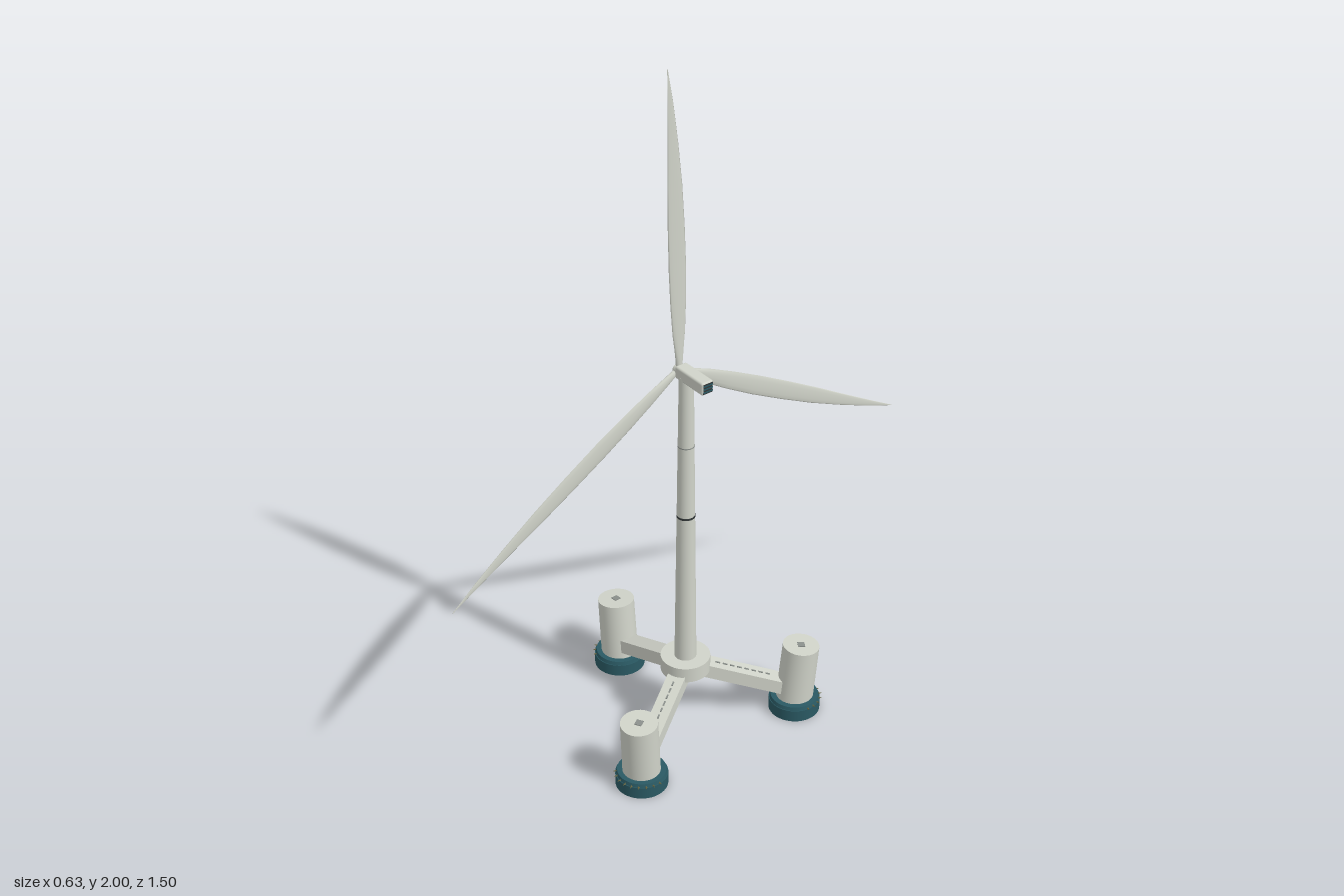
import * as THREE from 'three';
import { RoundedBoxGeometry } from 'three/addons/geometries/RoundedBoxGeometry.js';

const paint = (name, color, side = THREE.FrontSide) => {
  const m = new THREE.MeshStandardMaterial({ color, side });
  m.name = name;
  return m;
};

export function createModel() {
  const hull = paint('off white', 0xd0d3c9);
  const teal = paint('teal', 0x2a5963);
  const dark = paint('dark grey', 0x34393a);
  const grey = paint('mid grey', 0x8b908c);
  const olive = paint('olive', 0x6b6a45);

  const root = new THREE.Group();
  root.name = 'floatingWindTurbine';
  const add = (parent, name, geometry, material, x = 0, y = 0, z = 0) => {
    const mesh = new THREE.Mesh(geometry, material);
    mesh.name = name;
    mesh.position.set(x, y, z);
    parent.add(mesh);
    return mesh;
  };
  const cyl = (rTop, rBottom, h, n = 40) => new THREE.CylinderGeometry(rTop, rBottom, h, n);

  // Everything is arranged around the tower axis
  const plant = new THREE.Group();
  plant.name = 'plant';
  plant.position.set(0.08, 0, 0.017);
  root.add(plant);

  // Tower with section joints and the collar it stands on
  add(plant, 'collar', cyl(0.07, 0.07, 0.046), hull, 0, 0.193, 0);
  add(plant, 'tower', cyl(0.02, 0.031, 0.93), hull, 0, 0.665, 0);
  for (const y of [0.69, 0.915]) {
    const r = 0.031 - 0.011 * (y - 0.2) / 0.93;
    add(plant, 'towerJoint', cyl(r + 0.0008, r + 0.0008, y < 0.8 ? 0.006 : 0.003), y < 0.8 ? dark : grey, 0, y, 0);
  }

  // Three floats on sloping arms, 120 degrees apart
  for (let i = 0; i < 3; i++) {
    const leg = new THREE.Group();
    leg.name = 'floatLeg';
    leg.rotation.y = Math.PI + i * Math.PI * 2 / 3;
    plant.add(leg);

    const arm = new THREE.Group();
    arm.name = 'arm';
    arm.position.set(0.155, 0.131, 0);
    arm.rotation.z = -0.365;
    leg.add(arm);
    add(arm, 'armBeam', new THREE.BoxGeometry(0.29, 0.04, 0.052), hull);
    if (i > 0) {
      for (let k = 0; k < 8; k++) {
        add(arm, 'armTread', new THREE.BoxGeometry(0.013, 0.003, 0.004), grey, -0.075 + k * 0.022, 0.021, 0);
      }
    }

    const float = new THREE.Group();
    float.name = 'float';
    float.position.x = 0.314;
    leg.add(float);
    add(float, 'footing', cyl(0.073, 0.073, 0.036), teal, 0, 0.018, 0);
    add(float, 'footingRim', cyl(0.068, 0.071, 0.01), teal, 0, 0.041, 0);

    // Column leaning outwards with a hatch on top
    const column = new THREE.Group();
    column.name = 'column';
    column.position.y = 0.035;
    column.rotation.z = -0.085;
    float.add(column);
    add(column, 'columnBody', cyl(0.052, 0.053, 0.182), hull, 0, 0.091, 0);
    add(column, 'hatch', new THREE.BoxGeometry(0.02, 0.003, 0.02), grey, 0, 0.1825, 0);

    // Small fender teeth around the outer half
    for (let k = 0; k < 9; k++) {
      const a = (k - 4) * 0.29;
      const tooth = add(float, 'fenderTooth', new THREE.ConeGeometry(0.005, 0.014, 4), olive,
        Math.cos(a) * 0.073, 0.037, Math.sin(a) * 0.073);
      tooth.rotation.set(0, -a, -Math.PI / 2, 'YXZ');
    }
  }

  // Nacelle with a cooling grille at its rear end
  const nacelle = new THREE.Group();
  nacelle.name = 'nacelle';
  nacelle.position.set(0, 1.137, 0);
  plant.add(nacelle);
  add(nacelle, 'nacelleBody', new RoundedBoxGeometry(0.117, 0.037, 0.038, 3, 0.006), hull, 0.033, 0, 0);
  add(nacelle, 'grille', new THREE.BoxGeometry(0.002, 0.029, 0.03), dark, 0.0915, 0, 0);
  for (let k = 0; k < 3; k++) {
    add(nacelle, 'grilleSlat', new THREE.BoxGeometry(0.002, 0.004, 0.03), teal, 0.0925, -0.009 + k * 0.009, 0);
  }

  // Rotor: hub and three blades
  const rotor = new THREE.Group();
  rotor.name = 'rotor';
  rotor.position.set(-0.032, 1.135, 0);
  plant.add(rotor);
  add(rotor, 'hub', cyl(0.016, 0.016, 0.022, 24), hull, 0.004).rotation.z = Math.PI / 2;
  const blade = bladeGeometry();
  for (let i = 0; i < 3; i++) {
    add(rotor, 'blade', blade, hull).rotation.x = i * Math.PI * 2 / 3;
  }
  return root;
}

// Lens-shaped sections: radius, straight edge, bulging edge, half thickness
function bladeGeometry() {
  const stations = [
    [0.0, 0.008, -0.008, 0.008], [0.03, 0.010, -0.012, 0.007], [0.11, 0.021, -0.02, 0.005],
    [0.2, 0.028, -0.023, 0.0045], [0.3, 0.033, -0.023, 0.004], [0.42, 0.036, -0.018, 0.0035],
    [0.54, 0.037, -0.01, 0.003], [0.66, 0.036, 0.003, 0.002], [0.77, 0.036, 0.018, 0.0015],
    [0.865, 0.037, 0.035, 0.0005],
  ];
  const n = 12, pos = [], idx = [];
  for (const [r, a, b, t] of stations) {
    for (let k = 0; k < n; k++) {
      const w = k / n * Math.PI * 2;
      pos.push(Math.sin(w) * t, r, (a + b) / 2 + Math.cos(w) * (a - b) / 2);
    }
  }
  for (let s = 0; s < stations.length - 1; s++) {
    for (let k = 0; k < n; k++) {
      const p = s * n + k, q = s * n + (k + 1) % n;
      idx.push(p, q, p + n, q, q + n, p + n);
    }
  }
  // Close the tip
  const last = (stations.length - 1) * n;
  for (let k = 1; k < n - 1; k++) idx.push(last, last + k, last + k + 1);
  const g = new THREE.BufferGeometry();
  g.setAttribute('position', new THREE.Float32BufferAttribute(pos, 3));
  g.setIndex(idx);
  g.computeVertexNormals();
  return g;
}
